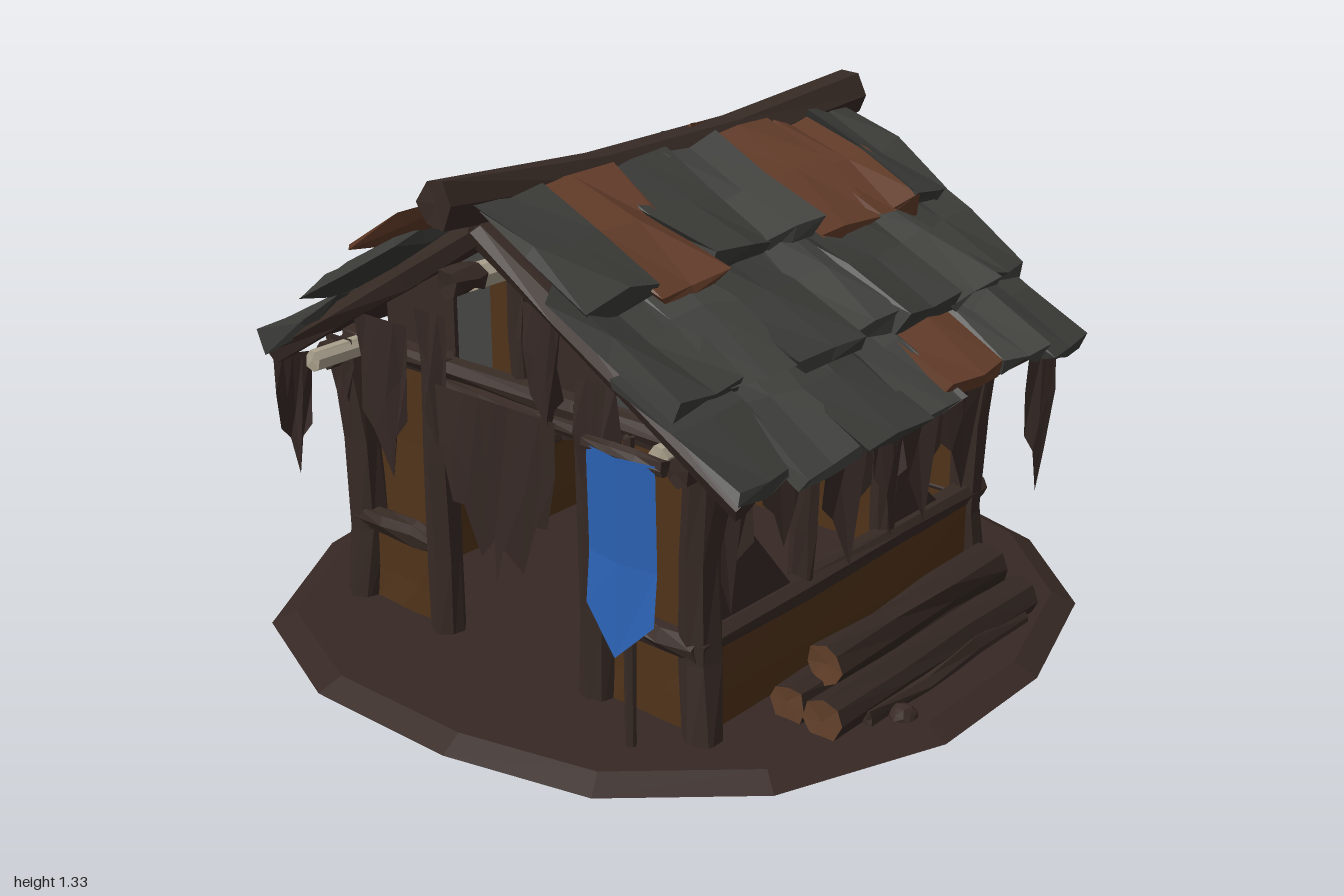
import * as THREE from 'three';

const paint = (color, side = THREE.FrontSide) =>
  new THREE.MeshStandardMaterial({ color, side, flatShading: true, roughness: 1 });

export function createModel() {
  const model = new THREE.Group();
  const mat = {
    wood: paint(0x372a25), bark: paint(0x342823), plaster: paint(0x50331a), earth: paint(0x362824),
    slate: paint(0x454542), slateDark: paint(0x3a3a37), copper: paint(0x643d2a), pale: paint(0xaaa08c),
    cloth: paint(0x362925, THREE.DoubleSide), blue: paint(0x2b62b4, THREE.DoubleSide), stone: paint(0x3a2c27),
    cutWood: paint(0x62402a)
  };
  const V = (x, y, z) => new THREE.Vector3(x, y, z);
  let seed = 1;

  const add = (name, geo, material, parent = model) => {
    const mesh = new THREE.Mesh(geo, material);
    mesh.name = name;
    parent.add(mesh);
    return mesh;
  };
  const group = (name) => {
    const g = new THREE.Group();
    g.name = name;
    model.add(g);
    return g;
  };
  const noise = (n) => {
    const s = Math.sin(n * 12.9898) * 43758.5453;
    return (s - Math.floor(s)) * 2 - 1;
  };

  // Shift vertices irregularly; coincident vertices move together
  const roughen = (geo, ax, ay = ax, az = ax) => {
    const p = geo.attributes.position;
    seed += 1;
    for (let i = 0; i < p.count; i++) {
      const k = Math.round(p.getX(i) * 1000) * 0.137 + Math.round(p.getY(i) * 1000) * 0.311
        + Math.round(p.getZ(i) * 1000) * 0.713 + seed * 1.7;
      p.setXYZ(i, p.getX(i) + noise(k) * ax, p.getY(i) + noise(k + 5.3) * ay, p.getZ(i) + noise(k + 9.1) * az);
    }
    geo.computeVertexNormals();
    return geo;
  };

  // Rough-hewn timber between two points, optionally bowed
  const beam = (name, a, b, r, { m = mat.wood, parent = model, bow = V(0, 0, 0), sides = 7, rough = 0.007, spin = 0 } = {}) => {
    const len = a.distanceTo(b), dir = b.clone().sub(a).normalize();
    const geo = roughen(new THREE.CylinderGeometry(r * 0.95, r, len, sides, 3), rough, 0.004, rough).rotateY(spin);
    geo.applyQuaternion(new THREE.Quaternion().setFromUnitVectors(V(0, 1, 0), dir));
    const mid = a.clone().add(b).multiplyScalar(0.5);
    geo.translate(mid.x, mid.y, mid.z);
    const p = geo.attributes.position;
    for (let i = 0; i < p.count; i++) {
      const v = V(0, 0, 0).fromBufferAttribute(p, i);
      const t = THREE.MathUtils.clamp(v.clone().sub(a).dot(dir) / len, 0, 1);
      v.addScaledVector(bow, Math.sin(Math.PI * t));
      p.setXYZ(i, v.x, v.y, v.z);
    }
    geo.computeVertexNormals();
    return add(name, geo, m, parent);
  };

  // Torn cloth hanging from its top centre, with a pointed ragged hem
  const rag = (name, x, y, z, w, h, turn, parent, n = 4) => {
    const geo = new THREE.PlaneGeometry(w, h, n, 2).translate(0, -h / 2, 0);
    const p = geo.attributes.position;
    seed += 1;
    for (let i = 0; i <= n; i++) {
      const reach = (0.6 + 0.4 * Math.sin(Math.PI * i / n)) * (i % 2 ? 0.8 : 1);
      const k = i + seed * 3.1;
      for (let row = 1; row < 3; row++) {
        const j = row * (n + 1) + i;
        p.setXYZ(j, p.getX(j) * (row === 2 ? 0.8 : 0.98) + noise(k) * w * 0.05, -h * reach * row / 2, noise(k + row) * 0.02);
      }
    }
    geo.computeVertexNormals();
    const mesh = add(name, geo, mat.cloth, parent);
    mesh.position.set(x, y, z);
    mesh.rotation.y = turn;
    return mesh;
  };

  // Ground: bevelled irregular disc
  const rim = [[-0.22, -1], [0.2, -1], [0.57, -0.89], [0.87, -0.62], [1, -0.2], [1, 0.21], [0.83, 0.64], [0.53, 0.91],
    [0.15, 1], [-0.29, 1], [-0.67, 0.84], [-0.93, 0.42], [-1, 0.09], [-1, -0.29], [-0.86, -0.65], [-0.58, -0.9]];
  const disc = new THREE.CylinderGeometry(1, 1, 0.03, rim.length);
  const dp = disc.attributes.position;
  for (let i = 0; i < dp.count; i++) {
    const x = dp.getX(i), z = dp.getZ(i);
    if (Math.hypot(x, z) < 0.5) continue;
    const k = Math.round(Math.atan2(x, z) / (Math.PI * 2) * rim.length);
    const [rx, rz] = rim[(8 - k + rim.length) % rim.length];
    const s = dp.getY(i) > 0 ? 0.94 : 1;
    dp.setXYZ(i, rx * s, dp.getY(i), rz * s);
  }
  disc.computeVertexNormals();
  add('ground', disc, mat.earth).position.y = 0.047;

  // Timber frame: corner, door and side posts
  const frame = group('frame');
  for (const s of [-1, 1]) {
    for (const z of [-0.55, 0.59])
      beam('cornerPost', V(s * 0.59, 0, z), V(s * 0.59, 0.76, z * 1.02), 0.05, { parent: frame, bow: V(-s * 0.03, 0, -Math.sign(z) * 0.02) });
    beam('doorPost', V(s * 0.26, 0, 0.59), V(s * 0.26, 0.8, 0.59), 0.048, { parent: frame });
    for (const z of [-0.15, 0.19])
      beam('sidePost', V(s * 0.56, 0.28, z), V(s * 0.57, 0.78, z), 0.035, { parent: frame });
    beam('frontRail', V(s * 0.58, 0.29, 0.59), V(s * 0.26, 0.29, 0.59), 0.034, { parent: frame });
    beam('sideRail', V(s * 0.57, 0.3, -0.58), V(s * 0.57, 0.3, 0.61), 0.036, { parent: frame });
    beam('wallPlate', V(s * 0.58, 0.75, -0.64), V(s * 0.58, 0.75, 0.68), 0.038, { parent: frame });
    beam('eavePole', V(s * 0.53, 0.77, -0.75), V(s * 0.53, 0.77, s < 0 ? 0.76 : 0.68), 0.03, { m: mat.pale, parent: frame, rough: 0.002 });
    beam('tieBeam', V(-0.59, 0.77, s * 0.58), V(0.59, 0.77, s * 0.58), 0.036, { parent: frame });
    beam('kingPost', V(0, 0.77, s * 0.56), V(0, 1.17, s * 0.56), 0.03, { parent: frame });
  }
  beam('backRail', V(-0.59, 0.3, -0.55), V(0.59, 0.3, -0.55), 0.036, { parent: frame });
  beam('doorLintel', V(-0.26, 0.73, 0.6), V(0.26, 0.73, 0.6), 0.028, { parent: frame });
  beam('ridgePole', V(0, 1.08, -0.77), V(0, 1.08, 0.72), 0.034, { m: mat.pale, parent: frame, rough: 0.002 });
  beam('ridgePoleEnd', V(0, 1.08, 0.7), V(0, 1.08, 0.79), 0.036, { parent: frame });

  // Plaster walls, open above the rail at the sides
  const walls = group('walls');
  const panel = (name, x, y, z, w, h, d) =>
    add(name, roughen(new THREE.BoxGeometry(w, h, d, 3, 2, 3), 0.006, 0, 0.006), mat.plaster, walls).position.set(x, y, z);
  for (const s of [-1, 1]) {
    panel('lowSideWall', s * 0.565, 0.145, 0.015, 0.04, 0.28, 1.12);
    panel('lowFrontWall', s * 0.42, 0.145, 0.57, 0.3, 0.28, 0.04);
    panel('upperFrontWall', s * 0.42, 0.52, 0.55, 0.3, 0.46, 0.025);
  }
  panel('lowBackWall', 0, 0.145, -0.54, 1.13, 0.28, 0.04);
  panel('upperBackWall', 0, 0.53, -0.53, 1.1, 0.46, 0.02);

  // Gable boards cut to the roof slope
  const gableTop = (x) => 1.165 - Math.abs(x) * 0.58;
  for (const z of [-0.52, 0.5]) {
    for (let i = 0; i < 8; i++) {
      const a = -0.52 + i * 0.13, b = a + 0.13;
      const s = new THREE.Shape([[a, 0.77], [b, 0.77], [b, gableTop(b)], [a, gableTop(a)]].map(([x, y]) => new THREE.Vector2(x, y)));
      const g = new THREE.ExtrudeGeometry(s, { depth: 0.02, bevelEnabled: false });
      add('gableBoard', g, [mat.wood, mat.wood, mat.slate, mat.plaster][i % 4], walls).position.z = z + (i % 2) * 0.012;
    }
  }

  // Roof decks, rafters and three overlapping rows of warped shingles per side
  const roof = group('roof');
  const rows = [[0.45, 0.95, 0.79, 0.755], [0.25, 1.1, 0.62, 0.905], [0.03, 1.255, 0.38, 1.075]];
  const cuts = [-0.67, -0.5, -0.33, -0.1, 0.08, 0.3, 0.52, 0.71];
  const copper = { '1,2': [1, 2, 5], '-1,2': [0, 2, 4, 5, 6], '1,0': [2] };
  for (const s of [-1, 1]) {
    const slab = (name, [x0, y0, x1, y1], z, w, thick, m, rough) => {
      const len = Math.hypot(x1 - x0, y1 - y0);
      const geo = roughen(new THREE.BoxGeometry(len, thick, w, 2, 1, 2), rough * 0.6, rough, rough * 0.8);
      const mesh = add(name, geo, m, roof);
      mesh.position.set(s * (x0 + x1) / 2, (y0 + y1) / 2, z);
      mesh.rotation.z = Math.atan2(y1 - y0, s * (x1 - x0)) + (s < 0 ? Math.PI : 0);
      return mesh;
    };
    slab('roofDeck', [0, 1.19, 0.76, 0.74], 0.02, 1.34, 0.03, mat.wood, 0);
    for (const z of [-0.65, 0.68])
      beam('rafter', V(0, 1.18, z), V(s * 0.77, 0.72, z), 0.036, { parent: roof, sides: 6 });
    rows.forEach((row, r) => {
      for (let i = 0; i < 7; i++) {
        const w = cuts[i + 1] - cuts[i], stagger = noise(i * 3 + r * 7 + s) * 0.02;
        const red = (copper[`${s},${r}`] || []).includes(i);
        const m = red ? mat.copper : i % 2 ? mat.slate : mat.slateDark;
        const q = [row[0], row[1], row[2] + stagger, row[3] - stagger * 0.6];
        const tile = slab('shingle', q, (cuts[i] + cuts[i + 1]) / 2, w + 0.02, 0.03, m, 0.024);
        tile.rotation.x = noise(i + r * 11 + s * 5) * 0.05;
      }
    });
  }
  beam('ridgeBeam', V(-0.02, 1.265, -0.77), V(-0.02, 1.265, 0.8), 0.062,
    { parent: roof, bow: V(0, -0.04, 0), sides: 6, rough: 0.007, spin: Math.PI / 6 });

  // Ragged cloths: [x, top, z, width, length, turn]
  const rags = group('rags');
  const Q = Math.PI / 2;
  const pieces = [
    [-0.02, 0.75, 0.64, 0.4, 0.48, 0], [-0.4, 0.88, 0.65, 0.2, 0.43, 0], [-0.23, 0.93, 0.64, 0.11, 0.36, 0],
    [0.14, 1.02, 0.63, 0.12, 0.37, 0], [0.31, 0.88, 0.64, 0.12, 0.43, 0], [-0.56, 0.8, 0.65, 0.1, 0.25, 0],
    [-0.38, 0.78, -0.58, 0.36, 0.45, 0], [0.02, 0.78, -0.58, 0.42, 0.42, 0], [0.4, 0.78, -0.58, 0.2, 0.4, 0],
    [-0.18, 1.0, -0.61, 0.13, 0.32, 0], [0.2, 0.98, -0.61, 0.13, 0.36, 0],
    [-0.75, 0.71, 0.65, 0.1, 0.34, Q * 0.7], [0.71, 0.71, -0.64, 0.09, 0.4, Q * 0.8]
  ];
  for (const s of [-1, 1])
    for (const [z, w, h] of [[0.51, 0.17, 0.4], [0.31, 0.14, 0.3], [0.06, 0.25, 0.44], [-0.11, 0.13, 0.42], [-0.26, 0.22, 0.43], [-0.45, 0.24, 0.4]])
      pieces.push([s * 0.595, 0.75, z, w, h, Q]);
  pieces.forEach(([x, y, z, w, h, t]) => rag('tornCloth', x, y, z, w, h, t, rags, w > 0.3 ? 8 : 4));

  // Fallen cloth sagging across the lower corners of the openings
  const sag = (corners, x, z, turn) => {
    const shape = new THREE.Shape(corners.map(([u, y]) => new THREE.Vector2(u, y)));
    const mesh = add('saggingCloth', new THREE.ShapeGeometry(shape), mat.cloth, rags);
    mesh.position.set(x, 0, z);
    mesh.rotation.y = turn;
  };
  for (const s of [-1, 1]) {
    sag([[-0.54, 0.31], [-0.24, 0.31], [-0.48, 0.6]], s * 0.575, 0, Q);
    sag([[0.18, 0.31], [0.4, 0.31], [0.18, 0.5]], s * 0.575, 0, Q);
  }
  sag([[-0.54, 0.31], [0.05, 0.31], [-0.2, 0.5], [-0.54, 0.62]], 0, -0.565, 0);

  // Blue banner with its pole and crossbar
  const banner = group('banner');
  beam('bannerPole', V(0.48, 0.04, 0.72), V(0.48, 0.82, 0.72), 0.014, { parent: banner, rough: 0.002 });
  beam('bannerBar', V(0.37, 0.785, 0.74), V(0.6, 0.785, 0.74), 0.02, { parent: banner, rough: 0.003 });
  const flag = new THREE.PlaneGeometry(0.2, 0.38, 2, 3);
  const fp = flag.attributes.position;
  for (let i = 0; i < fp.count; i++) {
    const centre = Math.abs(fp.getX(i)) < 0.01, row = Math.floor(i / 3);
    fp.setZ(i, (centre ? 0.018 : 0) - row * 0.003 + (row === 3 ? 0.015 : 0));
    if (row === 3 && centre) fp.setY(i, -0.29);
  }
  flag.computeVertexNormals();
  add('bannerCloth', flag, mat.blue, banner).position.set(0.485, 0.6, 0.755);

  // Stacked logs with cut ends, and loose stones
  const logs = group('logPile');
  for (const [x, y, z0, z1, r] of [[0.68, 0.1, -0.44, 0.4, 0.055], [0.79, 0.1, -0.45, 0.41, 0.055], [0.72, 0.18, -0.42, 0.31, 0.052]]) {
    const log = beam('log', V(x, y, z0), V(x, y, z1), r, { parent: logs, sides: 8 });
    log.material = [mat.bark, mat.cutWood, mat.cutWood];
  }
  beam('splitLog', V(0.83, 0.07, -0.4), V(0.83, 0.07, 0.3), 0.03, { parent: logs });
  for (const [x, y, z, r] of [[-0.75, 0.12, -0.05, 0.07], [-0.69, 0.1, -0.02, 0.04], [0.88, 0.06, 0.21, 0.035]])
    add('stone', roughen(new THREE.IcosahedronGeometry(r, 1), r * 0.1), mat.stone).position.set(x, y, z);

  return model;
}
